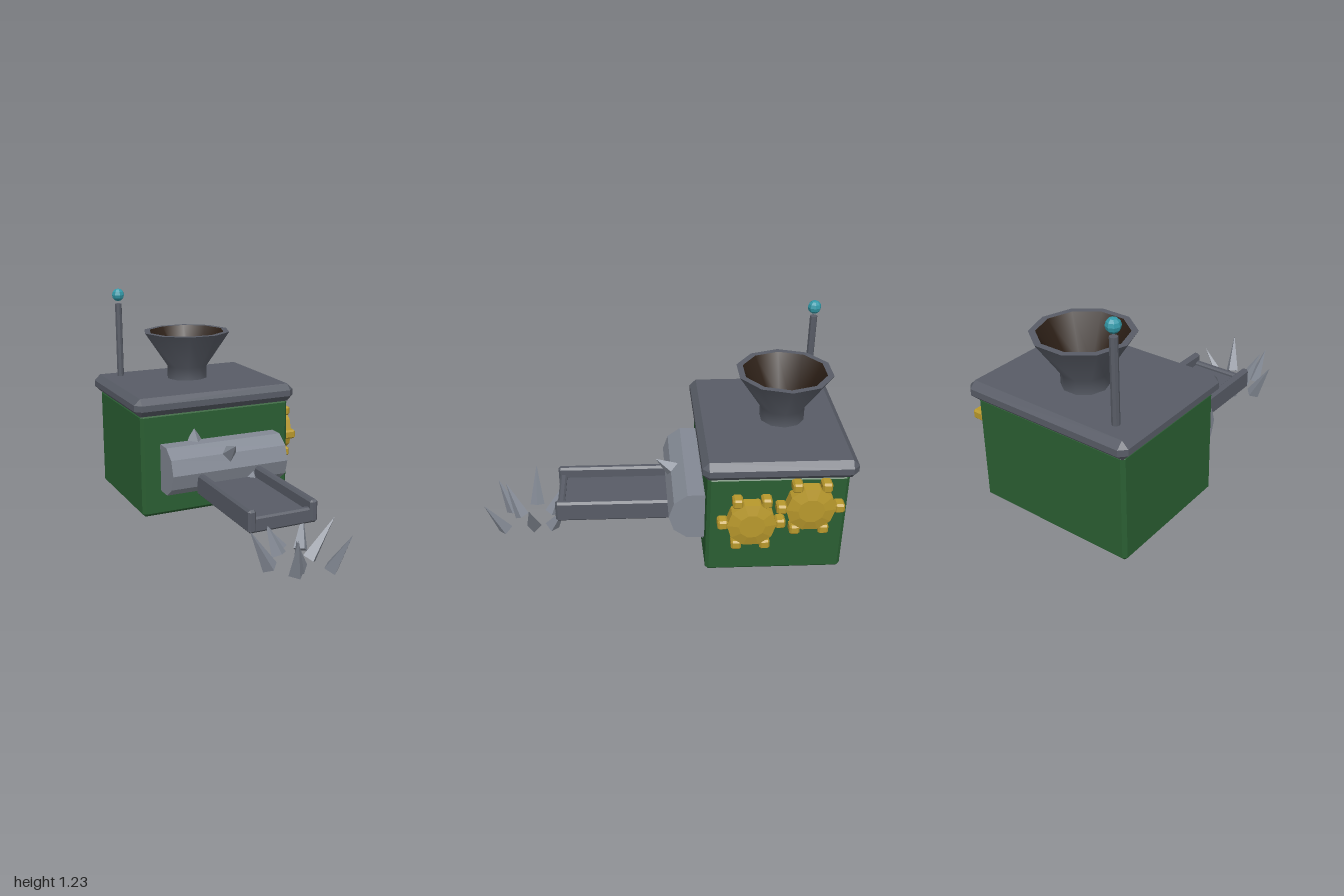
import * as THREE from 'three';
import { ConvexGeometry } from 'three/addons/geometries/ConvexGeometry.js';

const V = (x, y, z) => new THREE.Vector3(x, y, z);
const flat = (color) => new THREE.MeshStandardMaterial({ color, flatShading: true });
const smooth = (color) => new THREE.MeshStandardMaterial({ color });
const CX = -0.033; // centre line of the machine

// Box between two corners with every edge chamfered; bx, by, bz set the cut per axis
function bevelBox(min, max, bx, by = bx, bz = bx) {
  const c = min.clone().add(max).multiplyScalar(0.5);
  const h = max.clone().sub(min).multiplyScalar(0.5);
  const pts = [];
  for (const sx of [-1, 1]) for (const sy of [-1, 1]) for (const sz of [-1, 1]) {
    pts.push(
      V(c.x + sx * h.x, c.y + sy * (h.y - by), c.z + sz * (h.z - bz)),
      V(c.x + sx * (h.x - bx), c.y + sy * h.y, c.z + sz * (h.z - bz)),
      V(c.x + sx * (h.x - bx), c.y + sy * (h.y - by), c.z + sz * h.z));
  }
  return new ConvexGeometry(pts);
}

// Four-sided spike from the centre of its base to its tip
function spikeGeometry(base, tip, radius) {
  const dir = tip.clone().sub(base);
  const len = dir.length();
  const g = new THREE.ConeGeometry(radius, len, 4);
  g.translate(0, len / 2, 0);
  g.applyQuaternion(new THREE.Quaternion().setFromUnitVectors(V(0, 1, 0), dir.normalize()));
  return g.translate(base.x, base.y, base.z);
}

export function createModel() {
  const model = new THREE.Group();
  const green = flat(0x2a5e32), iron = flat(0x585c66), steel = flat(0x838994);
  const gold = flat(0xb8982c), teal = flat(0x3399a8);
  const add = (name, geometry, material, parent = model) => {
    const mesh = new THREE.Mesh(geometry, material);
    mesh.name = name;
    parent.add(mesh);
    return mesh;
  };
  const group = (name) => {
    const g = new THREE.Group();
    g.name = name;
    model.add(g);
    return g;
  };

  // Housing and lid
  add('body', bevelBox(V(-0.495, 0, -0.96), V(0.43, 0.6, -0.22), 0.018), green);
  add('lid', bevelBox(V(-0.53, 0.59, -1), V(0.463, 0.695, -0.19), 0.035), iron);

  // Ten-sided hopper: outer wall, rim and dark lining
  const hopper = group('hopper');
  hopper.position.set(CX, 0, -0.665);
  hopper.rotation.y = Math.PI / 10;
  const lathe = (name, pts, mat) =>
    add(name, new THREE.LatheGeometry(pts.map(([r, y]) => new THREE.Vector2(r, y)), 10), mat, hopper);
  lathe('hopperWall', [[0.123, 0.69], [0.123, 0.77], [0.265, 0.98]], smooth(0x585c66));
  lathe('hopperRim', [[0.265, 0.98], [0.23, 0.98]], iron);
  lathe('hopperLining', [[0.23, 0.98], [0.095, 0.76], [0.095, 0.7], [0, 0.7]], smooth(0x2c1f16));

  // Corner post with a loose ball above it
  add('post', new THREE.CylinderGeometry(0.021, 0.021, 0.45, 8), iron).position.set(-0.39, 0.915, -0.875);
  add('postBall', new THREE.SphereGeometry(0.038, 8, 6), teal).position.set(-0.39, 1.193, -0.875);

  // Two gears on the left side
  for (const [y, z] of [[0.36, -0.447], [0.45, -0.75]]) {
    const gear = group('gear');
    gear.position.set(0, y, z);
    const disc = (name, r0, r1, x0, x1) => {
      const g = new THREE.CylinderGeometry(r1, r0, x1 - x0, 10);
      g.rotateZ(-Math.PI / 2).translate((x0 + x1) / 2, 0, 0);
      add(name, g, gold, gear);
    };
    disc('gearDisc', 0.13, 0.13, 0.45, 0.513);
    disc('gearFace', 0.13, 0.07, 0.513, 0.527);
    for (let i = 0; i < 6; i++) {
      const a = i * Math.PI / 3;
      const tooth = add('gearTooth', bevelBox(V(0.446, -0.027, -0.027), V(0.517, 0.027, 0.027), 0.01), gold, gear);
      tooth.position.set(0, 0.15 * Math.sin(a), 0.15 * Math.cos(a));
    }
  }

  // Roller with five spikes spiralling round it
  const roller = group('roller');
  roller.position.set(0, 0.287, -0.17);
  const drum = new THREE.CylinderGeometry(0.145, 0.145, 0.71, 10);
  drum.rotateZ(Math.PI / 2).rotateX(Math.PI / 2).translate(-0.03, 0, 0);
  // A vertex line runs along the top of the drum
  drum.rotateX(Math.PI / 10);
  add('rollerDrum', drum, steel, roller);
  for (let i = 0; i < 5; i++) {
    const a = Math.PI - i * Math.PI * 0.4;
    const x = -0.32 + i * 0.143;
    const at = (r) => V(x, r * Math.sin(a), r * Math.cos(a));
    add('rollerSpike', spikeGeometry(at(0.125), at(0.25), 0.05), steel, roller);
  }

  // Output chute with side rails and a low front lip
  add('chuteFloor', bevelBox(V(-0.215, 0.152, -0.08), V(0.145, 0.215, 0.59), 0.01), iron);
  for (const s of [-1, 1]) {
    const x = CX - 0.003 + s * 0.176;
    add('chuteRail', bevelBox(V(x - 0.022, 0.155, -0.06), V(x + 0.022, 0.278, 0.6), 0.012), iron);
  }
  add('chuteLip', bevelBox(V(-0.2, 0.17, 0.55), V(0.13, 0.235, 0.59), 0.01), iron);

  // Scattered shards leaning outwards: base x, y, z then tip x, y, z
  const shards = [
    [-0.19, 0.03, 0.74, -0.3, 0.24, 0.74],
    [0.03, 0.035, 0.74, 0.17, 0.235, 0.745],
    [0.06, 0.04, 0.9, 0.112, 0.24, 1.0],
    [-0.12, 0.04, 0.875, -0.152, 0.24, 0.95],
    [-0.07, 0.035, 0.82, -0.14, 0.225, 0.908],
    [-0.09, 0.04, 0.645, -0.13, 0.2, 0.575],
    [0.04, 0.04, 0.635, 0.1, 0.2, 0.55],
    [-0.05, 0.04, 0.59, -0.1, 0.15, 0.52],
  ];
  for (const [a, b, c, d, e, f] of shards) {
    add('shard', spikeGeometry(V(a, b, c), V(d, e, f), 0.042), steel);
  }
  return model;
}
